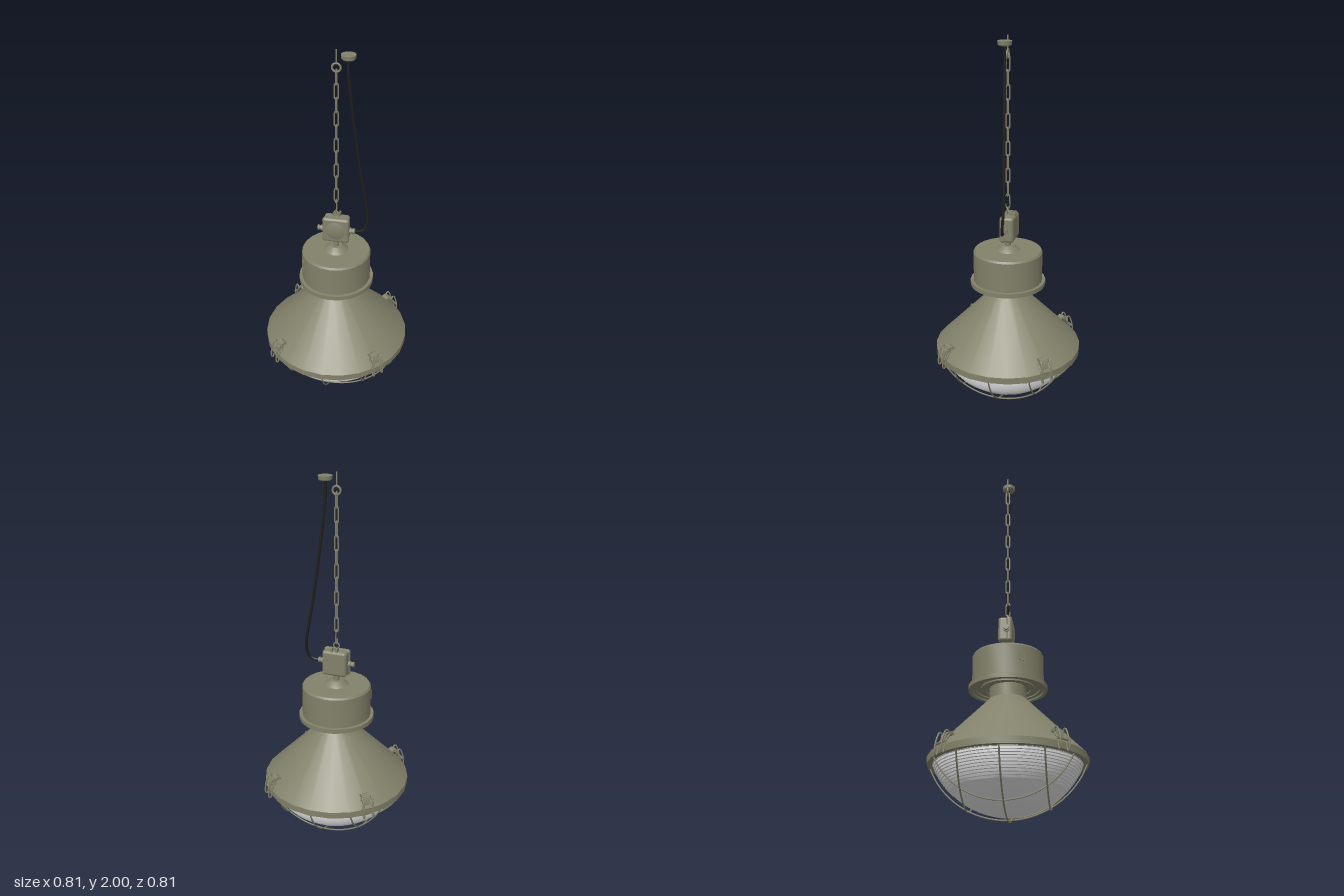
import * as THREE from 'three';
import { toCreasedNormals } from 'three/addons/utils/BufferGeometryUtils.js';
import { RoundedBoxGeometry } from 'three/addons/geometries/RoundedBoxGeometry.js';

const olive = new THREE.MeshStandardMaterial({ color: 0x82816a, side: THREE.DoubleSide });
olive.name = 'olive enamel';
const glass = new THREE.MeshStandardMaterial({ color: 0xdadada, side: THREE.DoubleSide });
glass.name = 'pale glass';
const rubber = new THREE.MeshStandardMaterial({ color: 0x1e1e1c });
rubber.name = 'black rubber';

const v = (x, y, z = 0) => new THREE.Vector3(x, y, z);

function add(parent, name, geometry, material, x = 0, y = 0, z = 0) {
  const mesh = new THREE.Mesh(geometry, material);
  mesh.name = name;
  mesh.position.set(x, y, z);
  parent.add(mesh);
  return mesh;
}

// Turned part from [radius, height] pairs, listed from the bottom up
function turned(profile, segments = 24, crease = 0.5) {
  const points = profile.map(([r, y]) => new THREE.Vector2(r, y));
  return toCreasedNormals(new THREE.LatheGeometry(points, segments), crease);
}

// Bent wire through points
function wire(points, radius, segments = 24, closed = false, tension = 0.5) {
  const curve = new THREE.CatmullRomCurve3(points, closed, 'catmullrom', tension);
  return new THREE.TubeGeometry(curve, segments, radius, 6, closed);
}

// Oblong chain link, w and h measured on the wire centre
function linkGeometry(w, h, radius) {
  const a = w / 2, b = h / 2, c = b - a;
  const pts = [v(a, -c), v(a, 0), v(a, c), v(a * 0.6, b), v(-a * 0.6, b),
    v(-a, c), v(-a, 0), v(-a, -c), v(-a * 0.6, -b), v(a * 0.6, -b)];
  return wire(pts, radius, 30, true, 0.3);
}

function buildLamp(g) {
  // Conical shade with rim and neck
  add(g, 'shade', turned([
    [0.365, 0.285], [0.37, 0.27], [0.403, 0.27], [0.403, 0.305], [0.095, 0.62], [0.095, 0.68],
  ]), olive);

  // Gear housing with stepped underside, flange and grooved lid
  add(g, 'housing', turned([
    [0.09, 0.685], [0.12, 0.685], [0.12, 0.677], [0.14, 0.677], [0.14, 0.685],
    [0.165, 0.685], [0.165, 0.677], [0.185, 0.677], [0.185, 0.668], [0.205, 0.668],
    [0.205, 0.692], [0.187, 0.692], [0.187, 0.855], [0.18, 0.865], [0, 0.865],
  ]), olive);
  add(g, 'housingCollar', turned([[0.066, 0.865], [0.06, 0.872], [0.032, 0.89], [0, 0.89]]), olive);
  add(g, 'stem', new THREE.CylinderGeometry(0.016, 0.016, 0.05, 16), olive, 0, 0.908);
  const plate = add(g, 'housingPlate', new THREE.BoxGeometry(0.03, 0.05, 0.006), olive, -0.165, 0.795, 0.088);
  plate.rotation.y = Math.atan2(-0.165, 0.088);

  // Ribbed glass bowl: stepped rings on top, plain sphere below
  const R = 0.402, cy = 0.427, radiusAt = (y) => Math.sqrt(R * R - (y - cy) ** 2);
  const profile = [[0, 0.025]];
  for (let i = 1; i <= 9; i++) {
    const y = 0.025 + 0.115 * (i / 9) ** 2;
    profile.push([radiusAt(y), y]);
  }
  const rings = 11, step = 0.14 / rings;
  for (let i = 0; i < rings; i++) {
    const y = 0.14 + i * step;
    profile.push([radiusAt(y) + 0.006, y + 0.002], [radiusAt(y + step), y + step]);
  }
  add(g, 'glassBowl', turned(profile, 32, 0.45), glass);
}

// Guard: three wires each way, lying on one sphere
function buildCage(g) {
  const cage = new THREE.Group();
  cage.name = 'guardCage';
  g.add(cage);
  const R = 0.4225, cy = 0.4275, top = 0.275;
  for (const turn of [0, Math.PI / 2]) {
    for (const offset of [-0.205, 0, 0.205]) {
      const r = Math.sqrt(R * R - offset * offset);
      const end = Math.acos((cy - top) / r);
      const pts = [];
      for (let i = 0; i <= 16; i++) {
        const a = end * (i / 8 - 1);
        pts.push(v(r * Math.sin(a), cy - r * Math.cos(a), offset));
      }
      add(cage, 'guardWire', wire(pts, 0.0042, 32), olive).rotation.y = turn;
    }
  }
}

// Toggle latches on the rim, local +z pointing outwards
function buildLatches(g) {
  const shape = new THREE.Shape([
    [0.338, 0.352], [0.344, 0.368], [0.36, 0.376], [0.378, 0.37], [0.39, 0.352],
    [0.396, 0.325], [0.388, 0.322], [0.378, 0.345], [0.364, 0.36], [0.352, 0.36], [0.346, 0.348],
  ].map(([r, y]) => new THREE.Vector2(r, y)));
  const hook = new THREE.ExtrudeGeometry(shape, { depth: 0.042, bevelEnabled: false });
  hook.translate(0, 0, -0.021);
  hook.rotateY(-Math.PI / 2);
  const hookGeo = toCreasedNormals(hook, 0.6);
  // Closed wire loop standing at each side of the hook
  const loop = wire([
    v(0, 0.352, 0.376), v(0, 0.374, 0.386), v(0, 0.366, 0.4), v(0, 0.32, 0.416),
    v(0, 0.272, 0.42), v(0, 0.262, 0.41), v(0, 0.275, 0.404), v(0, 0.32, 0.396),
  ], 0.0045, 36, true);
  const bar = (length, radius) => new THREE.CylinderGeometry(radius, radius, length, 8).rotateZ(Math.PI / 2);
  const crossBar = bar(0.076, 0.006), pin = bar(0.062, 0.005);
  for (let i = 0; i < 4; i++) {
    const latch = new THREE.Group();
    latch.name = 'latch';
    latch.rotation.y = Math.PI / 4 + i * Math.PI / 2;
    g.add(latch);
    add(latch, 'latchHook', hookGeo, olive);
    add(latch, 'latchCrossBar', crossBar, olive, 0, 0.315, 0.408);
    add(latch, 'latchPin', pin, olive, 0, 0.36, 0.38);
    for (const x of [-0.027, 0.027]) add(latch, 'latchLoop', loop, olive, x);
  }
}

function buildJunctionBox(g) {
  const box = new THREE.Group();
  box.name = 'junctionBox';
  box.position.set(0, 0.997, 0);
  g.add(box);
  add(box, 'boxBody', new RoundedBoxGeometry(0.136, 0.14, 0.068, 4, 0.016), olive, 0, 0, -0.012);
  add(box, 'boxLid', new RoundedBoxGeometry(0.146, 0.146, 0.032, 4, 0.015), olive, 0, 0, 0.013);
  const dome = add(box, 'lidDome', turned([[0.056, 0], [0.045, 0.004], [0.028, 0.008], [0, 0.01]]), olive, 0, 0, 0.028);
  dome.rotation.x = Math.PI / 2;
  // Cable glands on both sides
  for (const side of [-1, 1]) {
    for (const [name, r, len, x] of [['gland', 0.012, 0.036, 0.081], ['glandNut', 0.017, 0.012, 0.076], ['glandCap', 0.015, 0.01, 0.096]]) {
      add(box, name, new THREE.CylinderGeometry(r, r, len, 12).rotateZ(Math.PI / 2), olive, side * x, -0.004, 0);
    }
  }
  // U-shaped lug and eye for the chain
  add(box, 'topLug', new THREE.BoxGeometry(0.036, 0.02, 0.01), olive, 0, 0.077, -0.018);
  for (const x of [-0.014, 0.014]) add(box, 'lugArm', new THREE.BoxGeometry(0.008, 0.02, 0.022), olive, x, 0.077, -0.033);
  add(box, 'chainEye', new THREE.TorusGeometry(0.016, 0.004, 6, 20), olive, 0, 0.092, 0);
}

function buildSuspension(g) {
  // Chain of alternating links
  const link = linkGeometry(0.02, 0.079, 0.0038);
  for (let i = 0; i < 10; i++) {
    add(g, 'chainLink', link, olive, 0, 1.862 - i * 0.0727).rotation.y = i % 2 ? 0 : Math.PI / 2;
  }
  // Open hook joining chain and box
  add(g, 'chainHook', wire([
    v(0, 1.165, 0.012), v(0, 1.18, 0.004), v(0, 1.172, -0.008), v(0, 1.14, -0.01),
    v(0, 1.11, -0.01), v(0, 1.098, 0), v(0, 1.108, 0.01), v(0, 1.125, 0.011),
  ], 0.0035, 30), olive);
  // Ceiling ring and rod
  add(g, 'ceilingRing', new THREE.TorusGeometry(0.021, 0.0055, 8, 24), olive, 0, 1.91);
  add(g, 'ceilingRod', new THREE.CylinderGeometry(0.004, 0.004, 0.066, 8), olive, 0, 1.967);
  // Power cable and its ceiling cap
  add(g, 'ceilingCap', turned([[0, 1.956], [0.03, 1.956], [0.035, 1.961], [0.037, 1.98], [0, 1.98]]), olive, 0.059);
  add(g, 'powerCable', wire([
    v(0.058, 1.965), v(0.061, 1.85), v(0.09, 1.6, -0.005), v(0.124, 1.35, -0.012), v(0.156, 1.16, -0.019),
    v(0.166, 1.07, -0.016), v(0.155, 1.015, -0.01), v(0.128, 0.994, -0.003), v(0.09, 0.992),
  ], 0.0075, 70), rubber);
}

export function createModel() {
  const g = new THREE.Group();
  g.name = 'pendantLamp';
  buildLamp(g);
  buildCage(g);
  buildLatches(g);
  buildJunctionBox(g);
  buildSuspension(g);
  return g;
}
